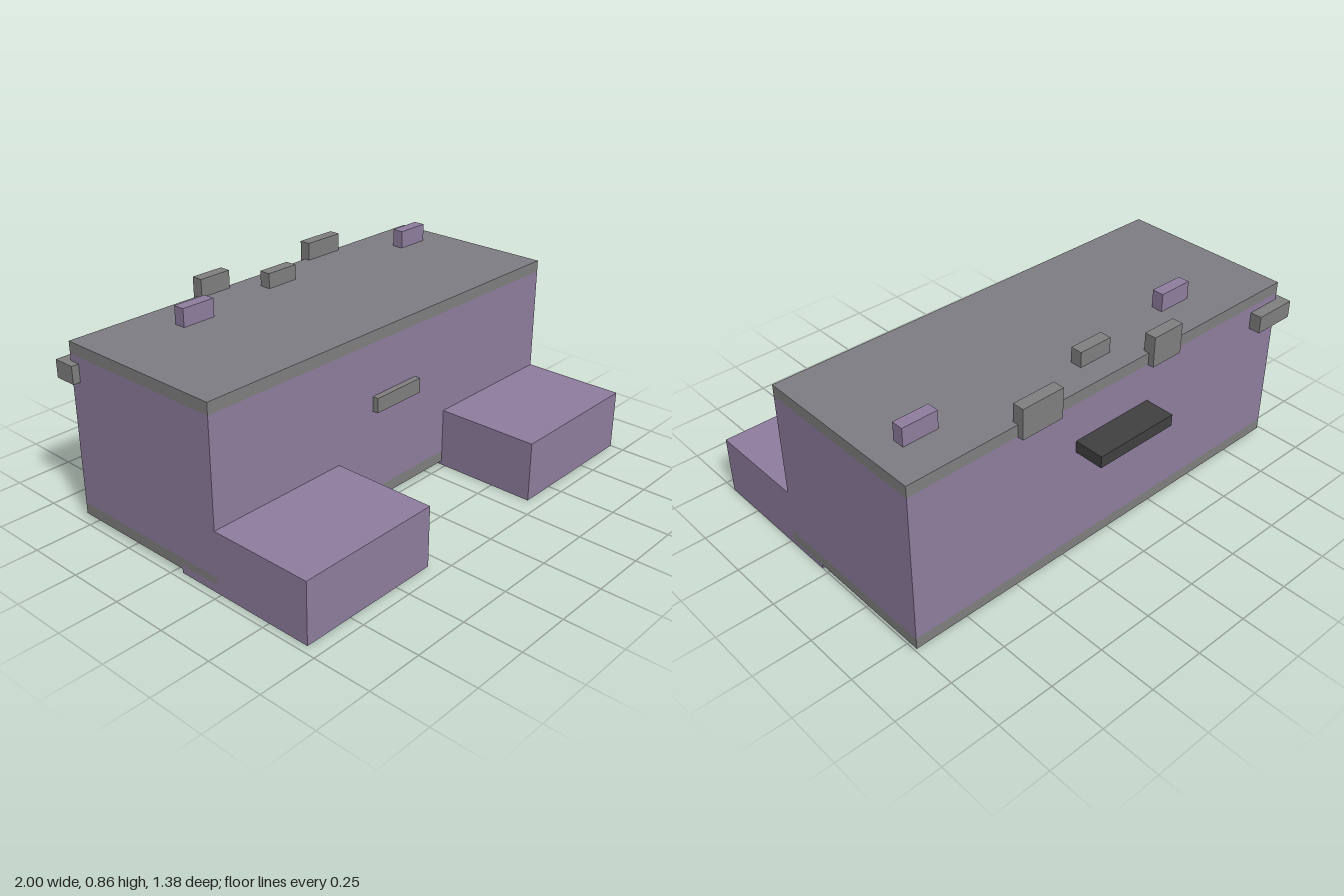
import * as THREE from 'three';

export function createModel() {
  const model = new THREE.Group();
  model.name = 'blockBody';
  const material = (name, color) => {
    const m = new THREE.MeshStandardMaterial({ color });
    m.name = name;
    return m;
  };
  const purple = material('purple', 0x8f7d9f);
  const grey = material('grey', 0x808080);
  const roofGrey = material('roofGrey', 0x7e7d83);
  const black = material('black', 0x404040);

  // Box given by its limits on each axis
  const block = (name, mat, [x0, x1], [y0, y1], [z0, z1]) => {
    const mesh = new THREE.Mesh(new THREE.BoxGeometry(x1 - x0, y1 - y0, z1 - z0), mat);
    mesh.position.set((x0 + x1) / 2, (y0 + y1) / 2, (z0 + z1) / 2);
    mesh.name = name;
    model.add(mesh);
  };

  // Main body between two trim slabs
  const width = [-0.968, 1], depth = [-0.557, 0.23];
  block('base', grey, width, [0.018, 0.068], depth);
  block('body', purple, width, [0.068, 0.725], depth);
  block('roof', [grey, grey, roofGrey, grey, grey, grey], width, [0.725, 0.776], depth);

  // Feet reaching forward
  block('rightFoot', purple, [-0.968, -0.314], [0, 0.265], [0.035, 0.688]);
  block('leftFoot', purple, [0.344, 1], [0, 0.265], [0.035, 0.688]);

  // Front plate
  block('frontPlate', grey, [-0.117, 0.145], [0.43, 0.495], [0.22, 0.257]);

  // Tabs on the roof
  block('rightRoofTab', purple, [-0.588, -0.432], [0.77, 0.855], [-0.387, -0.335]);
  block('leftRoofTab', purple, [0.722, 0.878], [0.77, 0.855], [-0.387, -0.335]);
  block('middleRoofTab', grey, [-0.064, 0.092], [0.77, 0.843], [-0.453, -0.401]);

  // Tabs over the rear edge
  block('rightRearTab', grey, [-0.325, -0.17], [0.722, 0.855], [-0.583, -0.532]);
  block('leftRearTab', grey, [0.31, 0.505], [0.722, 0.855], [-0.583, -0.532]);

  // Rear corner block and ledge
  block('cornerBlock', grey, [-1, -0.803], [0.618, 0.695], [-0.609, -0.508]);
  block('rearLedge', black, [-0.18, 0.21], [0.5, 0.552], [-0.688, -0.5]);

  return model;
}
